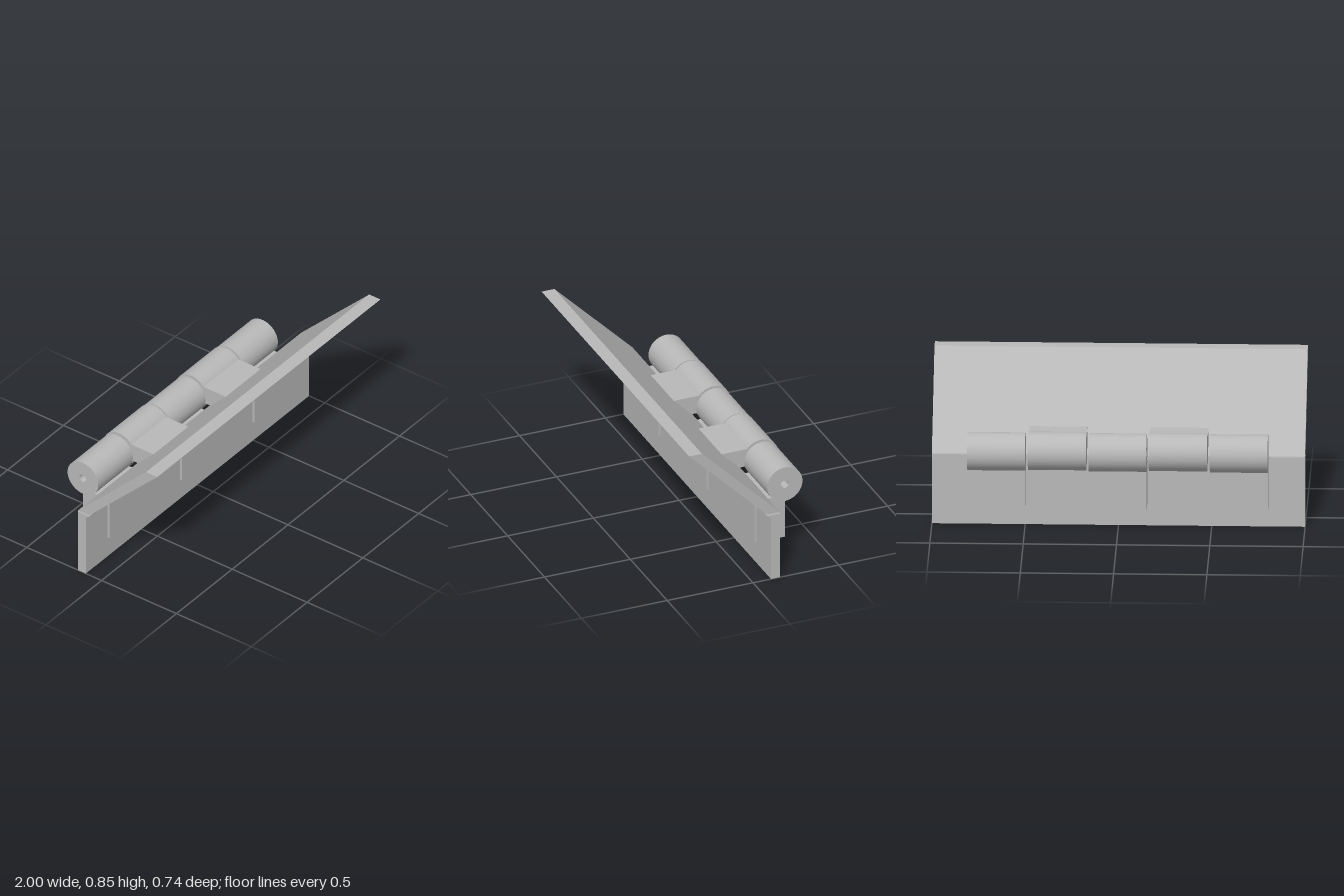
import * as THREE from 'three';
import { toCreasedNormals } from 'three/addons/utils/BufferGeometryUtils.js';

const steel = new THREE.MeshStandardMaterial({ color: 0xb8b8b8 });
steel.name = 'greySteel';

const BARREL_Z = -0.27, BARREL_R = 0.1025, HOLE_R = 0.0225;

// Extrude a (z, y) side profile along x, centred on x = 0
function extrudeX(shape, width) {
  const geo = new THREE.ExtrudeGeometry(shape, { depth: width, bevelEnabled: false, curveSegments: 64 });
  geo.translate(0, 0, -width / 2);
  geo.rotateY(-Math.PI / 2);
  return toCreasedNormals(geo, 0.4);
}

function polygon(points) {
  return new THREE.Shape(points.map(([z, y]) => new THREE.Vector2(z, y)));
}

// Barrel outline that runs into a mounting block, with a pin hole
function knuckleShape(before, centreY, startAngle, endAngle, after) {
  const s = new THREE.Shape();
  s.moveTo(...before[0]);
  before.slice(1).forEach((p) => s.lineTo(...p));
  s.absarc(BARREL_Z, centreY, BARREL_R, startAngle, endAngle, false);
  after.forEach((p) => s.lineTo(...p));
  s.closePath();
  const hole = new THREE.Path();
  hole.absarc(BARREL_Z, centreY, HOLE_R, 0, Math.PI * 2, true);
  s.holes.push(hole);
  return s;
}

export function createModel() {
  const group = new THREE.Group();
  group.name = 'hinge';
  const add = (name, geo, x = 0) => {
    const mesh = new THREE.Mesh(geo, steel);
    mesh.name = name;
    mesh.position.x = x;
    group.add(mesh);
  };

  // Upright leaf with an undercut lip along its top edge
  add('lowerLeaf', extrudeX(polygon([
    [-0.158, 0], [-0.105, 0], [-0.105, 0.368], [-0.083, 0.39], [-0.158, 0.39],
  ]), 2));

  // Leaf tilted forward at 45 degrees
  add('upperLeaf', extrudeX(polygon([
    [-0.158, 0.397], [-0.083, 0.397], [0.372, 0.852], [0.297, 0.852],
  ]), 2));

  // Three knuckles on the lower leaf
  const lowY = 0.4455;
  const lower = extrudeX(knuckleShape(
    [[-0.093, 0.125], [-0.093, 0.378]], lowY,
    Math.asin((0.378 - lowY) / BARREL_R), Math.PI * 1.5,
    [[BARREL_Z, 0.125]],
  ), 0.31);
  [-0.65, 0, 0.65].forEach((x) => add('lowerKnuckle', lower, x));

  // Two knuckles on the upper leaf
  const highY = 0.4505;
  const upper = extrudeX(knuckleShape(
    [[0.018, 0.41], [0.018, 0.514]], highY,
    Math.asin((0.514 - highY) / BARREL_R), Math.PI * 2 + Math.asin((0.41 - highY) / BARREL_R),
    [],
  ), 0.312);
  [-0.324, 0.324].forEach((x) => add('upperKnuckle', upper, x));

  return group;
}
